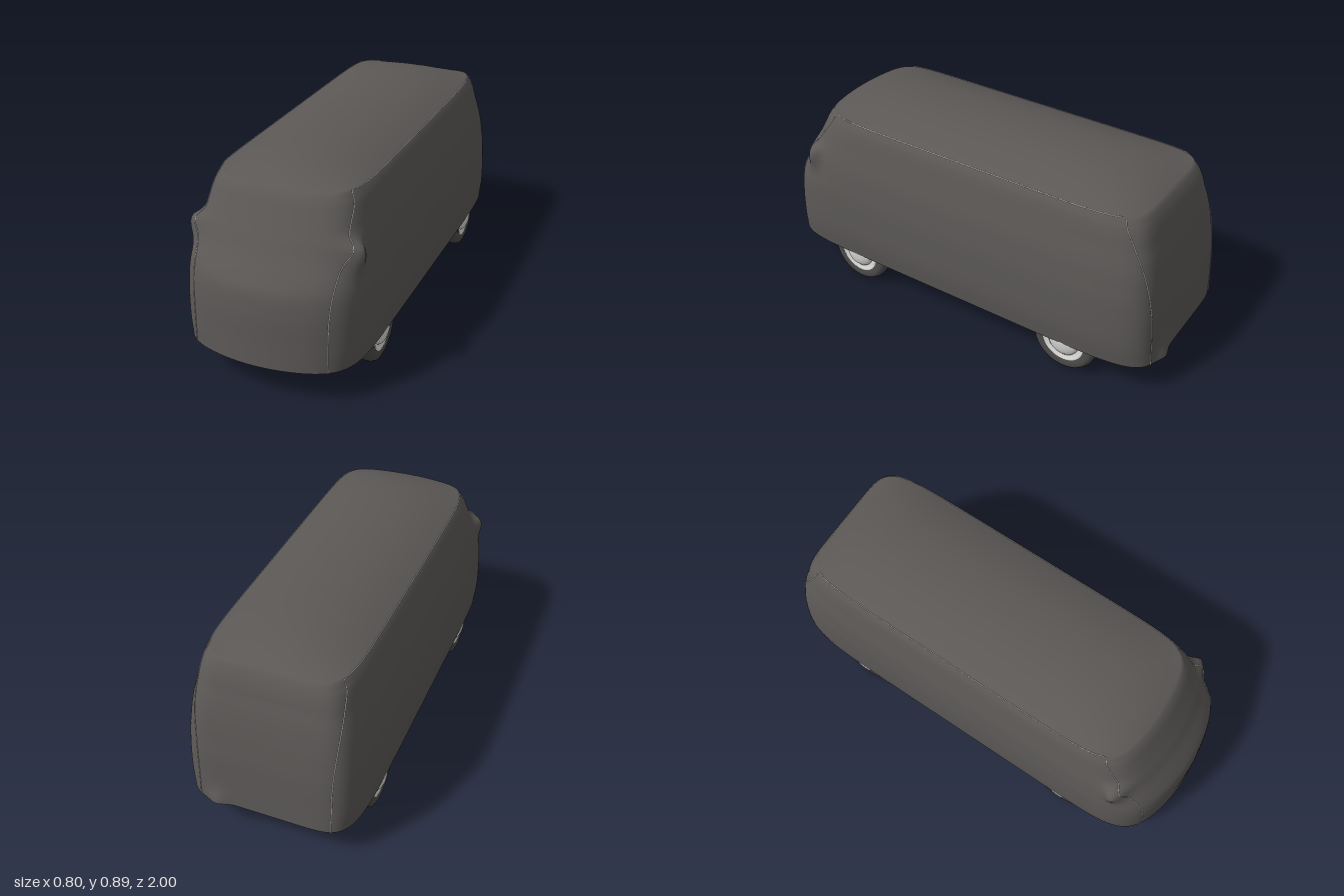
import * as THREE from 'three';

const BASE = 0.155, EAVE = 0.825, POWER = 8;

// Cover profile by height: half width, front z, back z, bow of the front
const heights = [0.155, 0.25, 0.4, 0.48, 0.52, 0.6, 0.66, 0.7, 0.76, 0.8, 0.825];
const sections = [
  0.388, 1.0, -0.982, 0.10,
  0.398, 0.995, -0.975, 0.10,
  0.397, 0.987, -0.965, 0.10,
  0.393, 0.972, -0.955, 0.10,
  0.388, 0.95, -0.95, 0.09,
  0.377, 0.9, -0.936, 0.08,
  0.364, 0.868, -0.922, 0.07,
  0.354, 0.845, -0.91, 0.065,
  0.340, 0.812, -0.893, 0.06,
  0.327, 0.789, -0.876, 0.055,
  0.312, 0.768, -0.86, 0.05,
];
const profile = new THREE.CubicInterpolant(heights, sections, 4, new Float32Array(4));
const bell = (d, s) => Math.exp(-((d / s) ** 2));

// Point of the cover for a point (u, v) on the edge of a unit square, at height y
function skin(u, v, y, shrink = 1) {
  const [w, zf, zb, bow] = profile.evaluate(y);
  const k = (Math.abs(u) ** POWER + Math.abs(v) ** POWER) ** (-1 / POWER);
  const a = u * k * shrink, b = v * k * shrink;
  let x = w * a;
  let z = (zf + zb) / 2 + ((zf - zb) / 2) * b - bow * a * a * Math.max(0, b) ** 4;
  if (shrink < 1 || y >= EAVE) {
    // crowned roof
    const rise = 0.07 * (1 - Math.abs(a) ** 2.1) * (1 - Math.abs(b) ** 6);
    return new THREE.Vector3(x, y + rise, z);
  }
  // cloth stretched over the door mirrors
  const tip = bell(y - 0.64, y > 0.64 ? 0.03 : 0.07) * bell(z - 0.79, 0.045);
  x += Math.sign(a) * 0.078 * tip * Math.abs(a) ** 4;
  // cloth caught on the exhaust pipe
  if (b < -0.5) z -= 0.019 * bell(x - 0.21, 0.045) * bell(y - BASE, 0.05);
  return new THREE.Vector3(x, y, z);
}

// Walk round the unit square, starting at the front
function square(t) {
  const side = Math.floor(t) % 4, f = (t % 1) * 2 - 1;
  return [[f, 1], [1, -f], [-f, -1], [-1, f]][side];
}

function coverGeometry(around = 320, up = 56, roof = 24) {
  const pos = [], index = [];
  for (let j = 0; j <= up + roof; j++) {
    const y = j < up ? BASE + (EAVE - BASE) * (j / up) : EAVE;
    const shrink = j <= up ? 1 : 1 - ((j - up) / roof) ** 1.4;
    for (let i = 0; i < around; i++) {
      pos.push(...skin(...square((i / around) * 4), y, shrink).toArray());
      if (j === up + roof) continue;
      const n = (i + 1) % around;
      const a = j * around + i, b = j * around + n;
      index.push(a, b, b + around);
      if (j < up + roof - 1) index.push(a, b + around, a + around);
    }
  }
  const g = new THREE.BufferGeometry();
  g.setAttribute('position', new THREE.Float32BufferAttribute(pos, 3));
  g.setIndex(index);
  g.computeVertexNormals();
  return g;
}

// Seam: up the front, along the eave and down the back
function seamPath() {
  const pts = [];
  const climb = (v, f) => {
    const y = BASE + (EAVE - BASE) * f;
    const x = 0.293 + 0.018 * bell(y - 0.66, 0.2);
    const r = Math.min(x / profile.evaluate(y)[0], 0.915);
    const u = Math.min(1, r / (1 - r ** POWER) ** (1 / POWER));
    pts.push(skin(u, v, y).add(new THREE.Vector3(0, 0, v * 0.0005)));
  };
  for (let i = 0; i <= 24; i++) climb(1, i / 24);
  for (let i = 1; i < 30; i++) pts.push(skin(1, 1 - i / 15, EAVE));
  for (let i = 24; i >= 0; i--) climb(-1, i / 24);
  return new THREE.CatmullRomCurve3(pts);
}

const lathe = (pts, seg = 40) =>
  new THREE.LatheGeometry(pts.map(p => new THREE.Vector2(...p)), seg).rotateZ(-Math.PI / 2);

export function createModel() {
  const model = new THREE.Group();
  const material = (name, color, side = THREE.FrontSide) => {
    const m = new THREE.MeshStandardMaterial({ color, side });
    m.name = name;
    return m;
  };
  const cloth = material('cover cloth', 0x5b5856);
  const thread = material('seam thread', 0xd8d8d8);
  const rubber = material('tyre rubber', 0x4c4b4a);
  const chrome = material('hubcap metal', 0xd6d6d4, THREE.DoubleSide);
  const iron = material('chassis iron', 0x454443);

  const add = (parent, name, geometry, mat, x = 0, y = 0, z = 0) => {
    const mesh = new THREE.Mesh(geometry, mat);
    mesh.name = name;
    mesh.position.set(x, y, z);
    parent.add(mesh);
    return mesh;
  };

  // Fabric cover and its flat underside
  add(model, 'cover', coverGeometry(), cloth);
  const rim = Array.from({ length: 160 }, (_, i) => {
    const p = skin(...square(i / 40), BASE);
    return new THREE.Vector2(p.x, p.z);
  });
  add(model, 'underside', new THREE.ShapeGeometry(new THREE.Shape(rim)).rotateX(Math.PI / 2), cloth, 0, BASE, 0);

  // Seams, mirrored
  const path = seamPath();
  const mirrored = new THREE.CatmullRomCurve3(path.points.map(p => new THREE.Vector3(-p.x, p.y, p.z)));
  add(model, 'leftSeam', new THREE.TubeGeometry(path, 200, 0.0018, 5), thread);
  add(model, 'rightSeam', new THREE.TubeGeometry(mirrored, 200, 0.0018, 5), thread);

  // Wheel parts, axis along x with the outer side at +x
  const tyre = lathe([[0.09, -0.028], [0.105, -0.032], [0.128, -0.034], [0.142, -0.028], [0.149, -0.014],
    [0.15, 0], [0.149, 0.014], [0.142, 0.028], [0.128, 0.034], [0.105, 0.032], [0.09, 0.026]]);
  const ring = lathe([[0.1, 0.033], [0.094, 0.035], [0.088, 0.028], [0.07, 0.026]]);
  const cap = lathe([[0.074, 0.024], [0.071, 0.034], [0.06, 0.044], [0.04, 0.051], [0.02, 0.054], [0, 0.055]]);
  const plate = new THREE.CylinderGeometry(0.094, 0.094, 0.03, 32).rotateZ(Math.PI / 2);
  const post = new THREE.CylinderGeometry(0.009, 0.009, 0.07, 12);
  const bolt = new THREE.CylinderGeometry(0.011, 0.011, 0.035, 12).rotateZ(Math.PI / 2);
  const arm = new THREE.CylinderGeometry(0.012, 0.012, 0.06, 12).rotateZ(Math.PI / 2);

  for (const [end, z] of [['front', 0.54], ['rear', -0.59]]) {
    for (const [side, s] of [['Left', 1], ['Right', -1]]) {
      const wheel = new THREE.Group();
      wheel.name = `${end}${side}Wheel`;
      wheel.position.set(s * 0.333, 0.15, z);
      if (s < 0) wheel.rotation.y = Math.PI;
      add(wheel, 'tyre', tyre, rubber);
      add(wheel, 'rimRing', ring, chrome);
      add(wheel, 'hubcap', cap, chrome);
      add(wheel, 'brakePlate', plate, iron, -0.018);
      // Suspension link behind the wheel
      add(wheel, 'axleArm', arm, iron, -0.055, -0.005, 0);
      if (end === 'front') {
        add(wheel, 'linkPost', post, iron, -0.068, -0.015, 0.04);
        add(wheel, 'linkBolt', bolt, iron, -0.066, -0.041, 0.04);
      }
      model.add(wheel);
    }
  }

  // Tail of the exhaust just under the hem
  const pipe = new THREE.CylinderGeometry(0.014, 0.014, 0.2, 16).rotateX(Math.PI / 2);
  add(model, 'exhaustPipe', pipe, iron, 0.21, 0.165, -0.88);
  return model;
}
